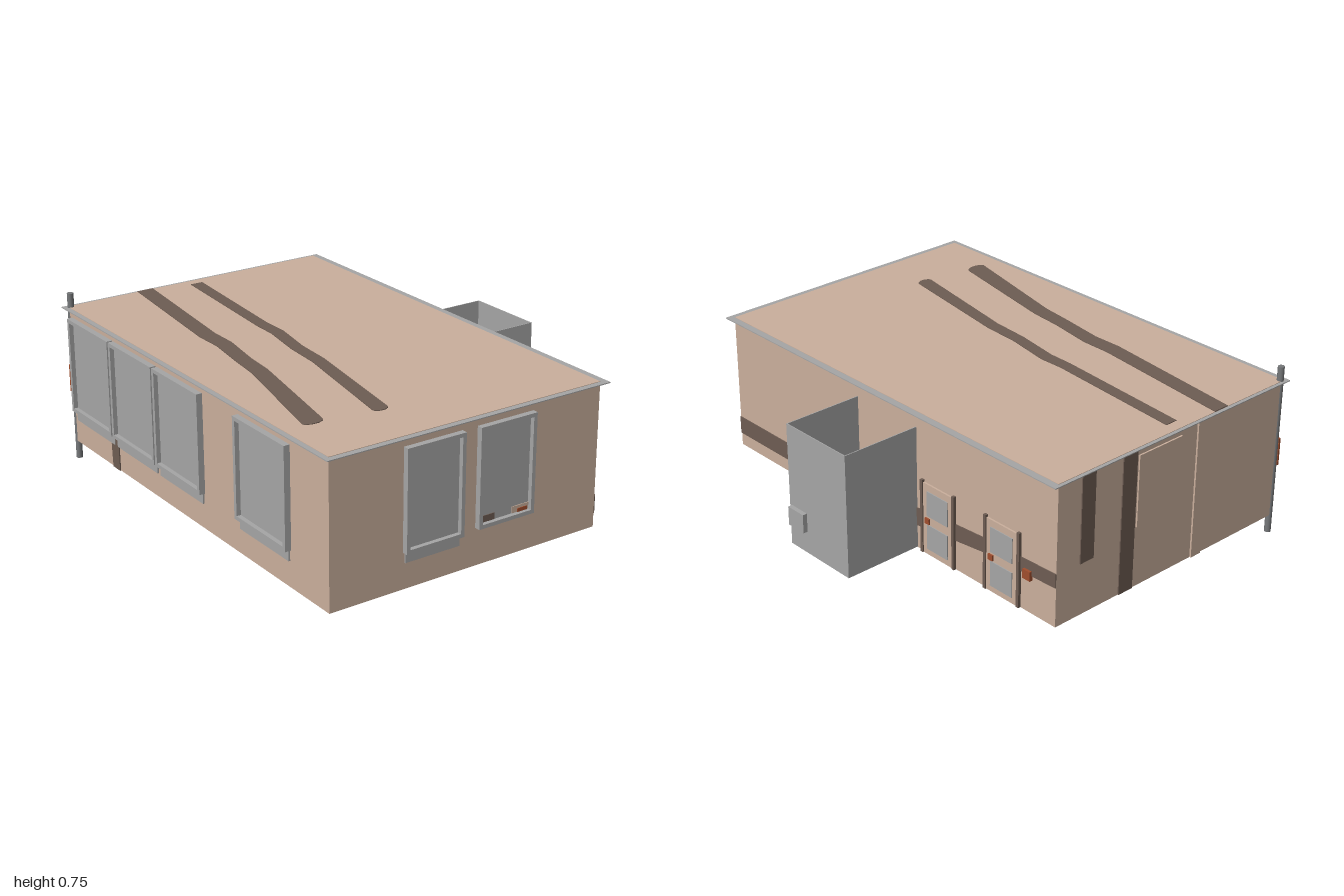
import * as THREE from 'three';

const mat = (name, color, side = THREE.FrontSide) => {
  const m = new THREE.MeshStandardMaterial({ color, side });
  m.name = name;
  return m;
};

export function createModel() {
  const root = new THREE.Group();
  root.name = 'cabin';
  const tan = mat('tan plaster', 0xcbb09d);
  const gray = mat('light gray', 0xa6a6a6);
  const brown = mat('dark brown', 0x6e5d53);
  const steel = mat('post gray', 0x77797b);
  const rust = mat('rust', 0xa04e2e);

  // Box given by its minimum and maximum corners
  const box = (name, m, x0, x1, y0, y1, z0, z1, parent = root) => {
    const mesh = new THREE.Mesh(new THREE.BoxGeometry(x1 - x0, y1 - y0, z1 - z0), m);
    mesh.position.set((x0 + x1) / 2, (y0 + y1) / 2, (z0 + z1) / 2);
    mesh.name = name;
    parent.add(mesh);
    return mesh;
  };
  const group = (name) => {
    const g = new THREE.Group();
    g.name = name;
    root.add(g);
    return g;
  };
  // Thin plate cut from an outline
  const plate = (name, m, pts, depth = 0.005, parent = root) => {
    const shape = new THREE.Shape(pts.map(([x, y]) => new THREE.Vector2(x, y)));
    const mesh = new THREE.Mesh(new THREE.ExtrudeGeometry(shape, { depth, bevelEnabled: false }), m);
    mesh.name = name;
    parent.add(mesh);
    return mesh;
  };

  // Main volume and the thin roof edge
  box('building', tan, -0.985, 0.975, 0.082, 0.694, -0.455, 0.8);
  box('roofEdge', gray, -1, 1, 0.688, 0.692, -0.485, 0.822);

  // Painted tracks on the roof: centre line [x, z, half width] with a rounded end
  const track = (line) => {
    const left = line.map(([x, z, w]) => [x, -z + w]);
    const right = line.map(([x, z, w]) => [x, -z - w]).reverse();
    const [ex, ez, ew] = line[line.length - 1];
    const cap = [60, 20, -20, -60].map((d) => {
      const a = THREE.MathUtils.degToRad(d);
      return [ex + 0.022 * Math.cos(a), -ez + ew * Math.sin(a)];
    });
    const mesh = plate('roofTrack', brown, [...left, ...cap, ...right]);
    mesh.rotation.x = -Math.PI / 2;
    mesh.position.y = 0.692;
  };
  track([[-0.935, 0.195, 0.028], [-0.31, 0.25, 0.027], [-0.2, 0.25, 0.029], [0, 0.285, 0.028],
    [0.17, 0.297, 0.029], [0.715, 0.393, 0.034]]);
  track([[-0.985, 0.425, 0.037], [-0.33, 0.503, 0.037], [-0.2, 0.503, 0.036], [0, 0.535, 0.034],
    [0.14, 0.55, 0.036], [0.68, 0.668, 0.045]]);

  // Window facing +z about its own origin: projecting frame, recessed pane, sill panel
  const addWindow = (x0, x1, bottom, top, sillY) => {
    const g = group('window');
    const b = 0.016;
    box('frameLeft', gray, x0, x0 + b, bottom, top, 0, 0.026, g);
    box('frameRight', gray, x1 - b, x1, bottom, top, 0, 0.026, g);
    box('frameTop', gray, x0 + b, x1 - b, top - b, top, 0, 0.026, g);
    box('frameBottom', gray, x0 + b, x1 - b, bottom, bottom + b, 0, 0.026, g);
    box('pane', gray, x0 + b, x1 - b, bottom + b, top - b, 0, 0.007, g);
    if (sillY < bottom) box('sillPanel', gray, x0 + 0.007, x1 - 0.007, sillY, bottom, 0, 0.007, g);
    return g;
  };
  for (const [x0, x1] of [[-0.945, -0.595], [-0.585, -0.235], [-0.225, 0.122], [0.38, 0.73]]) {
    addWindow(x0, x1, 0.235, 0.655, 0.19).position.z = 0.8;
  }
  // Side windows: local x runs along -z
  for (const [x0, x1, b, s] of [[-0.475, -0.21, 0.232, 0.19], [-0.14, 0.125, 0.24, 0.24]]) {
    const g = addWindow(x0, x1, b, 0.652, s);
    g.rotation.y = Math.PI / 2;
    g.position.x = 0.974;
  }
  // Gap under the raised sash
  const gap = group('openSashGap');
  box('gapShade', brown, 0.975, 0.984, 0.257, 0.284, 0.055, 0.124, gap);
  box('gapInside', tan, 0.975, 0.984, 0.257, 0.284, -0.109, -0.03, gap);
  box('gapRust', rust, 0.975, 0.987, 0.257, 0.272, -0.1, -0.055, gap);

  // Front wall: dark patch, corner post and its bracket
  plate('frontPatch', brown, [[-0.63, 0.082], [-0.572, 0.082], [-0.575, 0.23], [-0.61, 0.23],
    [-0.605, 0.19], [-0.636, 0.185]]).position.z = 0.8;
  const post = new THREE.Mesh(new THREE.CylinderGeometry(0.014, 0.014, 0.755, 12), steel);
  post.name = 'cornerPost';
  post.position.set(-0.975, 0.3775, 0.79);
  root.add(post);
  box('postPlate', rust, -0.988, -0.965, 0.31, 0.432, 0.8, 0.809);

  // Back wall: dark band broken by the annex
  const band = [
    [[1, 0.14, 0.22], [0.42, 0.14, 0.22], [0.155, 0.16, 0.24]],
    [[-0.205, 0.185, 0.265], [-0.4, 0.21, 0.285], [-0.6, 0.235, 0.3], [-0.985, 0.255, 0.315]],
  ];
  for (const part of band) {
    const low = part.map(([x, y]) => [Math.min(x, 0.975), y]);
    const high = part.map(([x, , y]) => [Math.min(x, 0.975), y]).reverse();
    plate('backBand', brown, [...low, ...high], 0.004).position.z = -0.459;
  }
  // Back doors with two panes between dark jambs
  for (const cx of [-0.335, -0.7]) {
    const g = group('backDoor');
    box('doorLeaf', tan, cx - 0.085, cx + 0.085, 0.083, 0.4, -0.463, -0.455, g);
    for (const [y0, y1] of [[0.11, 0.22], [0.26, 0.37]]) {
      box('doorPane', gray, cx - 0.06, cx + 0.06, y0, y1, -0.467, -0.462, g);
    }
    for (const s of [-1, 1]) {
      box('jamb', brown, cx + s * 0.092 - 0.007, cx + s * 0.092 + 0.007, 0.083, 0.41, -0.468, -0.455, g);
    }
    box('doorHandle', rust, cx + 0.045, cx + 0.07, 0.225, 0.25, -0.47, -0.462, g);
  }
  box('wallBox', rust, -0.86, -0.82, 0.23, 0.27, -0.47, -0.455);

  // Left-hand end wall: dark uprights, door panel, light pilaster
  box('endStripeShort', brown, -0.99, -0.985, 0.31, 0.688, -0.335, -0.265);
  box('endStripeLong', brown, -0.99, -0.985, 0.083, 0.688, -0.12, -0.045);
  box('endPanel', tan, -0.992, -0.985, 0.35, 0.66, -0.035, 0.2);
  box('endPilaster', tan, -0.993, -0.985, 0.083, 0.688, 0.29, 0.345);

  // Open-topped annex at the back
  const annex = group('annex');
  box('annexFloor', tan, -0.202, 0.152, 0.083, 0.092, -0.807, -0.455, annex);
  box('annexWallBack', gray, -0.205, 0.155, 0.084, 0.623, -0.81, -0.806, annex);
  for (const x of [-0.205, 0.151]) box('annexWallSide', gray, x, x + 0.004, 0.084, 0.623, -0.806, -0.455, annex);

  // Toilet: tank, lathe-turned bowl and lid
  const toilet = group('toilet');
  box('tank', gray, 0.048, 0.142, 0.183, 0.265, -0.83, -0.778, toilet);
  const bowl = new THREE.Mesh(new THREE.LatheGeometry(
    [[0, 0.09], [0.028, 0.09], [0.024, 0.12], [0.046, 0.17], [0.047, 0.186], [0, 0.188]]
      .map(([r, y]) => new THREE.Vector2(r, y)), 20), gray);
  bowl.name = 'bowl';
  bowl.scale.z = 1.6;
  bowl.position.set(0.095, 0, -0.714);
  toilet.add(bowl);

  // Washstand with basin
  const stand = group('washstand');
  const top = new THREE.Mesh(new THREE.CylinderGeometry(0.066, 0.05, 0.1, 6), rust);
  top.name = 'standBody';
  top.scale.x = 0.7;
  top.position.set(-0.152, 0.2, -0.57);
  stand.add(top);
  box('standLeg', brown, -0.17, -0.135, 0.09, 0.15, -0.59, -0.55, stand);
  box('standBack', brown, -0.2, -0.19, 0.17, 0.29, -0.615, -0.525, stand);
  box('basin', gray, -0.19, -0.155, 0.24, 0.256, -0.6, -0.55, stand);

  return root;
}
